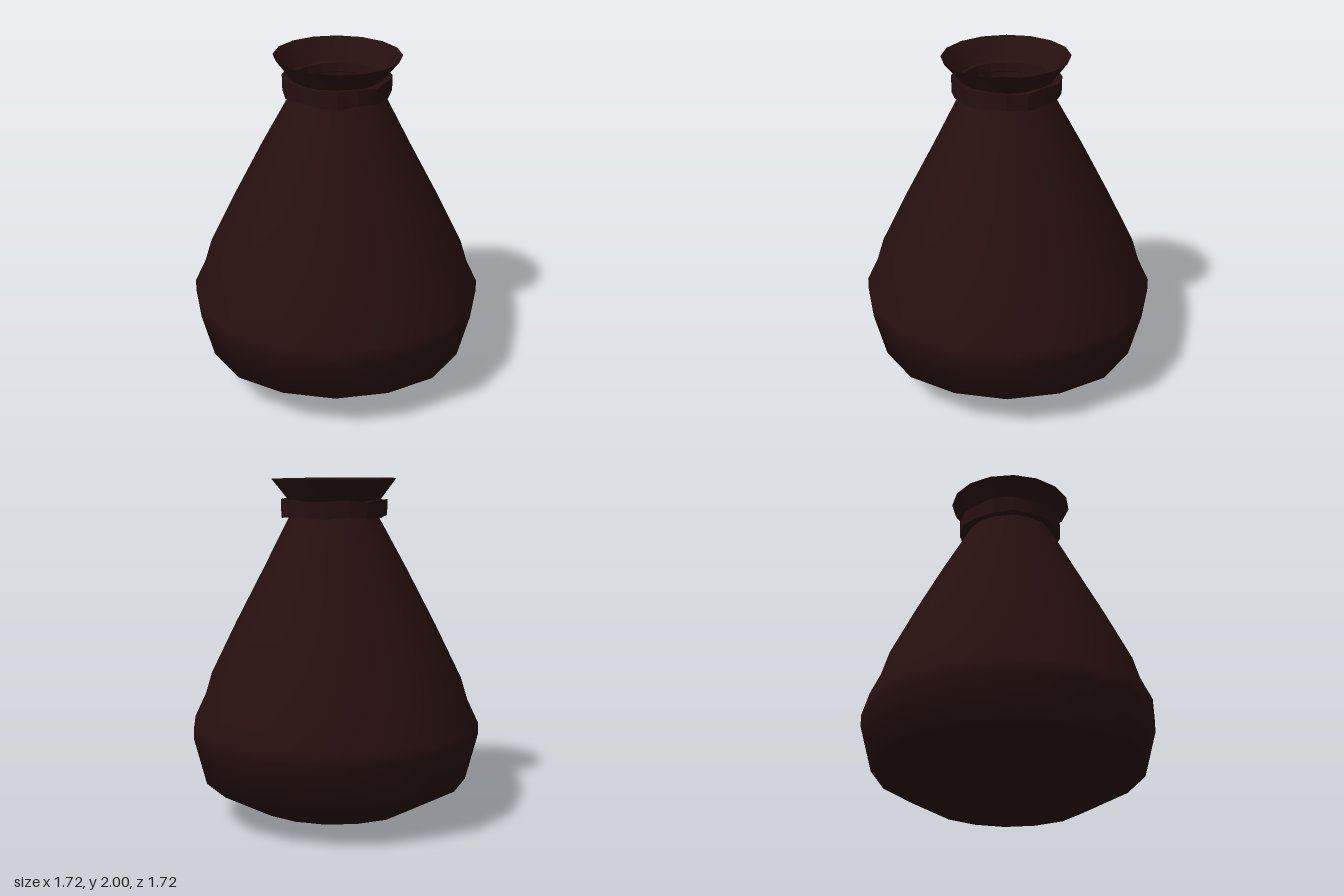
import * as THREE from 'three';

const SIDES = 16;

// Revolve [radius, height] pairs around the vertical axis
function revolve(profile) {
  return new THREE.LatheGeometry(profile.map(([r, y]) => new THREE.Vector2(r, y)), SIDES);
}

// Move every vertex by a rule: (vertex, index around the axis, index along the profile)
function reshape(geometry, rows, rule) {
  const pos = geometry.attributes.position;
  const v = new THREE.Vector3();
  for (let i = 0; i < pos.count; i++) {
    v.fromBufferAttribute(pos, i);
    rule(v, Math.floor(i / rows) % SIDES, i % rows);
    pos.setXYZ(i, v.x, v.y, v.z);
  }
  return geometry;
}

export function createModel() {
  const model = new THREE.Group();
  model.name = 'pouch';
  const leather = new THREE.MeshStandardMaterial({ color: 0x260f0f, side: THREE.DoubleSide });
  leather.name = 'dark leather';

  // Rounded sack narrowing to the tied neck
  const bodyProfile = [
    [0, 0], [0.47, 0.06], [0.79, 0.23], [0.862, 0.5], [0.862, 0.57], [0.795, 0.71],
    [0.755, 0.84], [0.6, 1.15], [0.43, 1.47], [0.28, 1.75], [0.24, 1.82],
  ];
  const body = new THREE.Mesh(
    reshape(revolve(bodyProfile), bodyProfile.length, (v, side) => {
      // diagonal sides are drawn in very slightly
      const s = side % 4 === 0 ? 1 : 0.985;
      v.x *= s;
      v.z *= s;
      if (v.y > 1.7) v.x += 0.01;
    }), leather);
  body.name = 'sack';
  model.add(body);

  // Flared open mouth above the tie, slightly off centre and tilted
  const mouthProfile = [[0.24, 1.82], [0.275, 1.88], [0.365, 2.0]];
  const mouth = new THREE.Mesh(
    reshape(revolve(mouthProfile), mouthProfile.length, (v, side, row) => {
      v.x += 0.01;
      if (row === 2) {
        v.x += 0.005;
        v.y -= 0.005 + v.x * 0.012;
      }
    }), leather);
  mouth.name = 'mouth';
  model.add(mouth);

  // Faceted strap tied round the neck
  const strapProfile = [[0.235, 1.785], [0.312, 1.78], [0.312, 1.875], [0.245, 1.87], [0.235, 1.785]];
  const strapGeometry = reshape(revolve(strapProfile), strapProfile.length, (v, side, row) => {
    const outer = row === 1 || row === 2;
    const s = outer ? 1 - 0.02 * ((side * 7 + row * 3) % 4) / 3 : 1;
    v.x = v.x * s + 0.01;
    v.z *= s;
    if (outer) v.y += 0.008 * Math.sin(side * 2.3 + row);
  }).toNonIndexed();
  strapGeometry.computeVertexNormals();
  const strap = new THREE.Mesh(strapGeometry, leather);
  strap.name = 'neckStrap';
  model.add(strap);

  return model;
}
